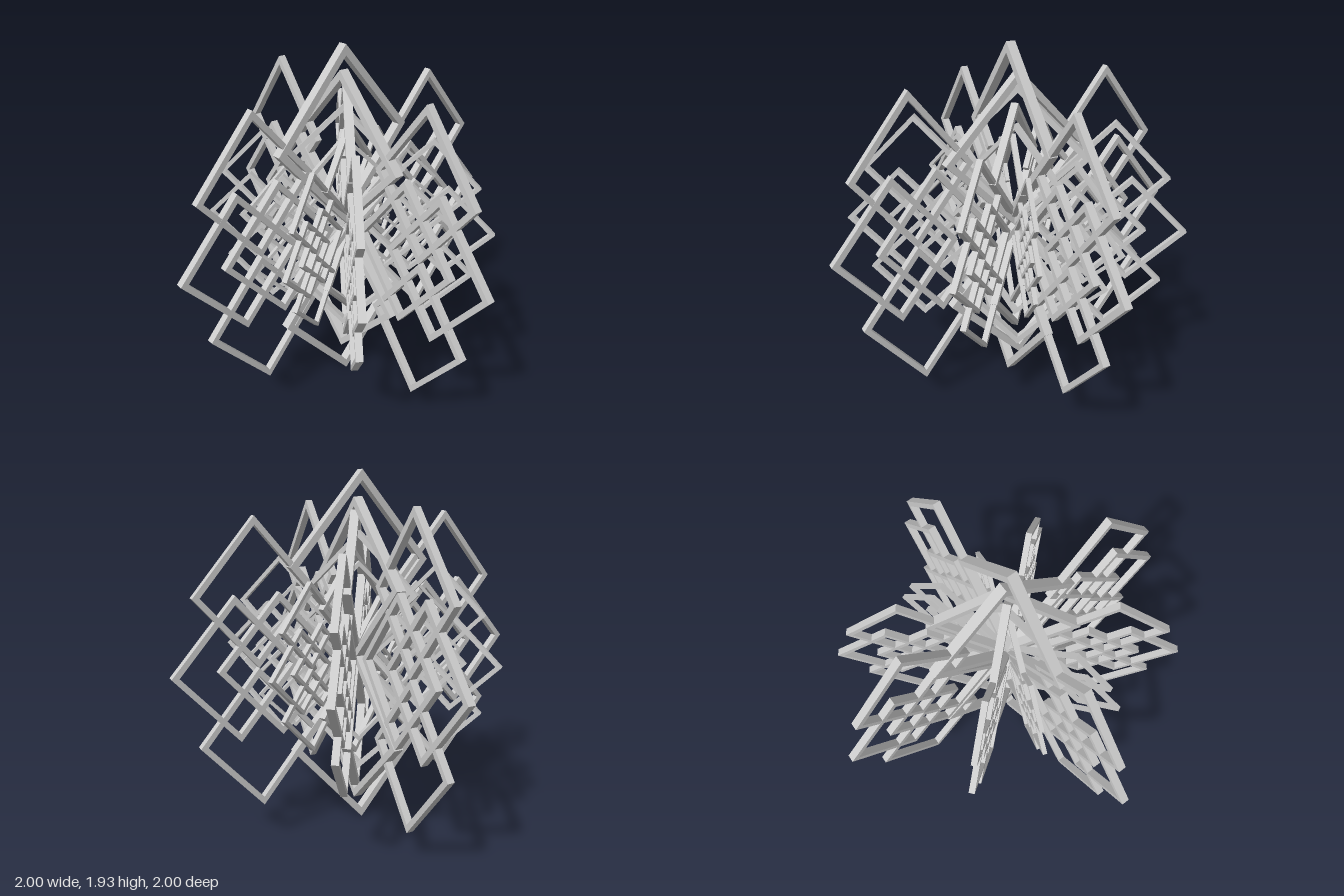
import * as THREE from 'three';

const material = new THREE.MeshStandardMaterial({ color: 0xcccccc, flatShading: true });

// Path of a rhombus with half width w and half height h
function rhombus(path, w, h) {
  path.moveTo(w, 0);
  path.lineTo(0, h);
  path.lineTo(-w, 0);
  path.lineTo(0, -h);
  path.closePath();
  return path;
}

// One open rhombus frame; its bars grow with its size
function frame(name, x, y, w, h) {
  const shape = rhombus(new THREE.Shape(), w, h);
  shape.holes.push(rhombus(new THREE.Path(), w * 0.885, h * 0.885));
  const depth = 0.122 * w;
  const geometry = new THREE.ExtrudeGeometry(shape, { depth, bevelEnabled: false });
  geometry.translate(x, y, -depth / 2);
  const mesh = new THREE.Mesh(geometry, material);
  mesh.name = name;
  return mesh;
}

// A flat lattice of overlapping frames; h is the small frames' half height
function lattice(h, poleY, poleW, poleH) {
  const group = new THREE.Group();
  for (const s of [-1, 1]) {
    group.add(frame('tipFrame', s * 0.67, 0, 0.33, h));
    group.add(frame('innerFrame', s * 0.44, 0, 0.33, h));
    for (const t of [-1, 1]) group.add(frame('cornerFrame', s * 0.56, t * h, 0.32, h));
    group.add(frame('poleFrame', -0.027, s * poleY, poleW, poleH));
  }
  return group;
}

// Lattices fanned around the vertical axis: end direction (x, z) and height scale
const fan = [
  { x: 1, z: 0, rise: 1, wide: true },
  { x: 0.57, z: 0.18, rise: 0.87 },
  { x: 0.51, z: 0.6, rise: 0.87 },
  { x: 0, z: 1, rise: 1, tall: true },
  { x: -0.535, z: 0.75, rise: 0.86 },
  { x: -0.61, z: 0.28, rise: 0.87 },
];

export function createModel() {
  const model = new THREE.Group();
  model.name = 'frameFan';
  fan.forEach((f, i) => {
    const plane = f.tall ? lattice(0.4, 0.402, 0.42, 0.43) : lattice(0.375, 0.492, 0.41, 0.475);
    const length = Math.hypot(f.x, f.z);
    plane.name = 'lattice' + (i + 1);
    plane.scale.set(length, length * f.rise, length);
    plane.rotation.y = -Math.atan2(f.z, f.x);
    plane.position.y = 0.995;
    model.add(plane);
  });
  return model;
}
